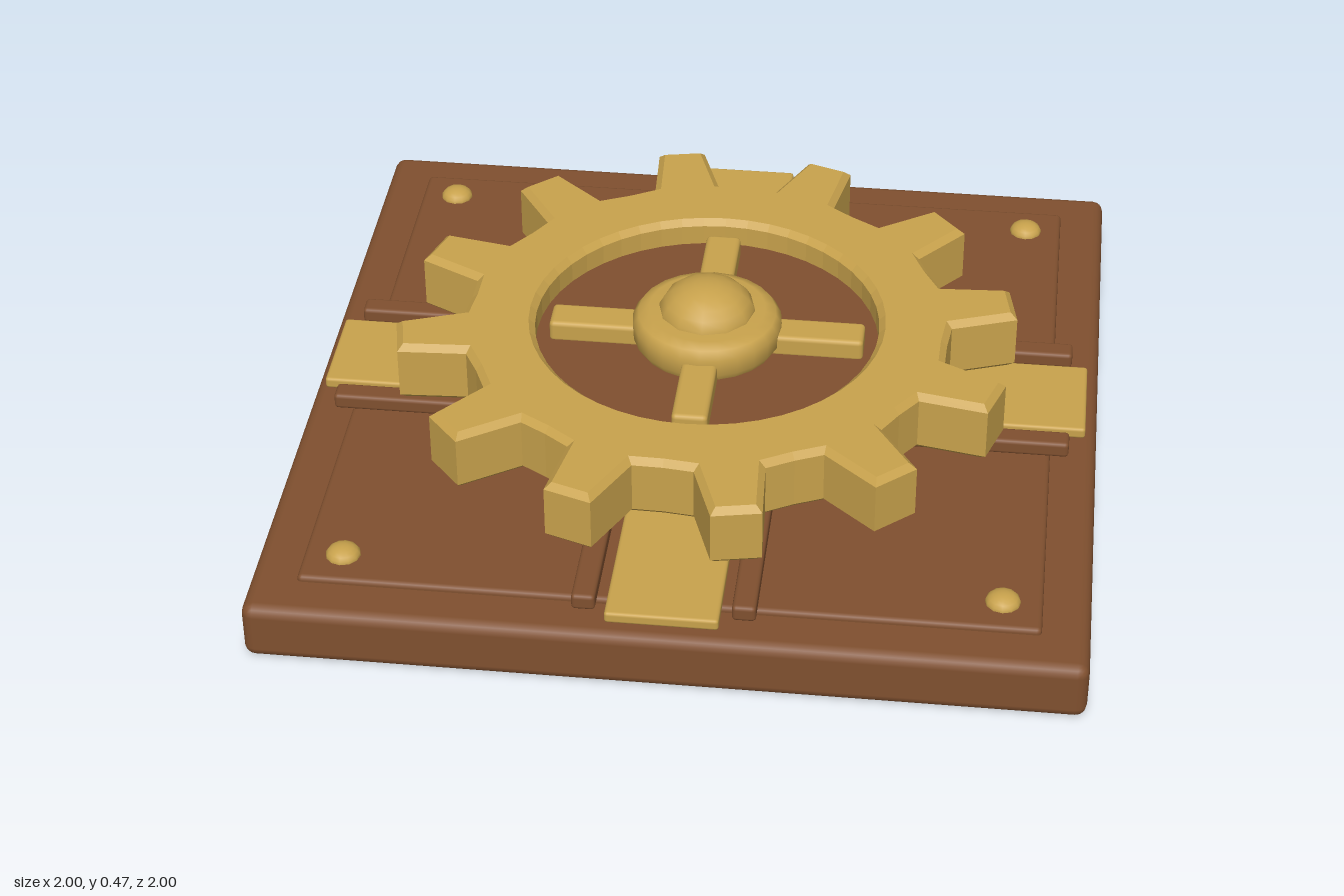
import * as THREE from 'three';
import { RoundedBoxGeometry } from 'three/addons/geometries/RoundedBoxGeometry.js';

export function createModel() {
  const model = new THREE.Group();
  model.name = 'gearPlaque';
  const wood = new THREE.MeshStandardMaterial({ name: 'brown', color: 0x80502f });
  const brass = new THREE.MeshStandardMaterial({ name: 'brass', color: 0xc8a24c });

  const add = (name, geometry, material, x = 0, y = 0, z = 0, parent = model) => {
    const mesh = new THREE.Mesh(geometry, material);
    mesh.name = name;
    mesh.position.set(x, y, z);
    parent.add(mesh);
    return mesh;
  };
  const box = (w, h, d, r) => new RoundedBoxGeometry(w, h, d, 2, r);

  // Base slab and raised panel
  add('base', box(2, 0.15, 2, 0.028), wood, 0, 0.075, 0);
  add('panel', box(1.77, 0.045, 1.77, 0.012), wood, 0, 0.143, 0);

  // Four arms: strap, pair of rails and hub spoke
  for (let i = 0; i < 4; i++) {
    const arm = new THREE.Group();
    arm.name = 'arm' + (i + 1);
    arm.rotation.y = (i * Math.PI) / 2;
    model.add(arm);
    add('strap', box(0.57, 0.03, 0.27, 0.008), brass, 0.685, 0.179, 0, arm);
    for (const side of [-1, 1]) {
      add('rail', box(0.53, 0.042, 0.057, 0.01), wood, 0.665, 0.185, side * 0.19, arm);
    }
    add('spoke', box(0.3, 0.06, 0.09, 0.012), brass, 0.25, 0.322, 0, arm);
  }

  // Corner rivets
  const rivet = new THREE.SphereGeometry(0.043, 12, 5, 0, Math.PI * 2, 0, Math.PI / 2);
  rivet.scale(1, 0.65, 1);
  for (const x of [-1, 1]) {
    for (const z of [-1, 1]) add('rivet', rivet, brass, x * 0.79, 0.164, z * 0.79);
  }

  // Pedestal below the gear and the floor inside its opening
  add('pedestal', new THREE.CylinderGeometry(0.47, 0.47, 0.04, 48), wood, 0, 0.18, 0);
  add('gearFloor', new THREE.CylinderGeometry(0.445, 0.445, 0.1, 48), wood, 0, 0.25, 0);

  // Twelve-toothed ring with chamfered edges
  const rad = Math.PI / 180;
  const outline = [];
  for (let i = 0; i < 12; i++) {
    const middle = 11.4 + i * 30;
    for (const [offset, r] of [[-8, 0.62], [-4.5, 0.788], [4.5, 0.788], [8, 0.62], [15, 0.612]]) {
      const a = (middle + offset) * rad;
      outline.push(new THREE.Vector2(Math.cos(a) * r, Math.sin(a) * r));
    }
  }
  const ring = new THREE.Shape(outline);
  const hole = new THREE.Path();
  hole.absarc(0, 0, 0.437, 0, Math.PI * 2, true);
  ring.holes.push(hole);
  const bevel = 0.016;
  const gear = new THREE.ExtrudeGeometry(ring, {
    depth: 0.165 - 2 * bevel, curveSegments: 24,
    bevelEnabled: true, bevelThickness: bevel, bevelSize: bevel, bevelOffset: -bevel, bevelSegments: 1,
  });
  gear.rotateX(-Math.PI / 2);
  add('gear', gear, brass, 0, 0.205 + bevel, 0);

  // Hub collar and dome
  const collar = [[0.17, 0.29], [0.188, 0.32], [0.19, 0.365], [0.175, 0.387], [0.148, 0.398], [0, 0.4]];
  add('hub', new THREE.LatheGeometry(collar.map(([x, y]) => new THREE.Vector2(x, y)), 24), brass);
  const dome = new THREE.SphereGeometry(0.125, 12, 6, 0, Math.PI * 2, 0, Math.PI / 2);
  dome.scale(1, 0.72, 1);
  add('hubDome', dome, brass, 0, 0.382, 0);

  return model;
}
